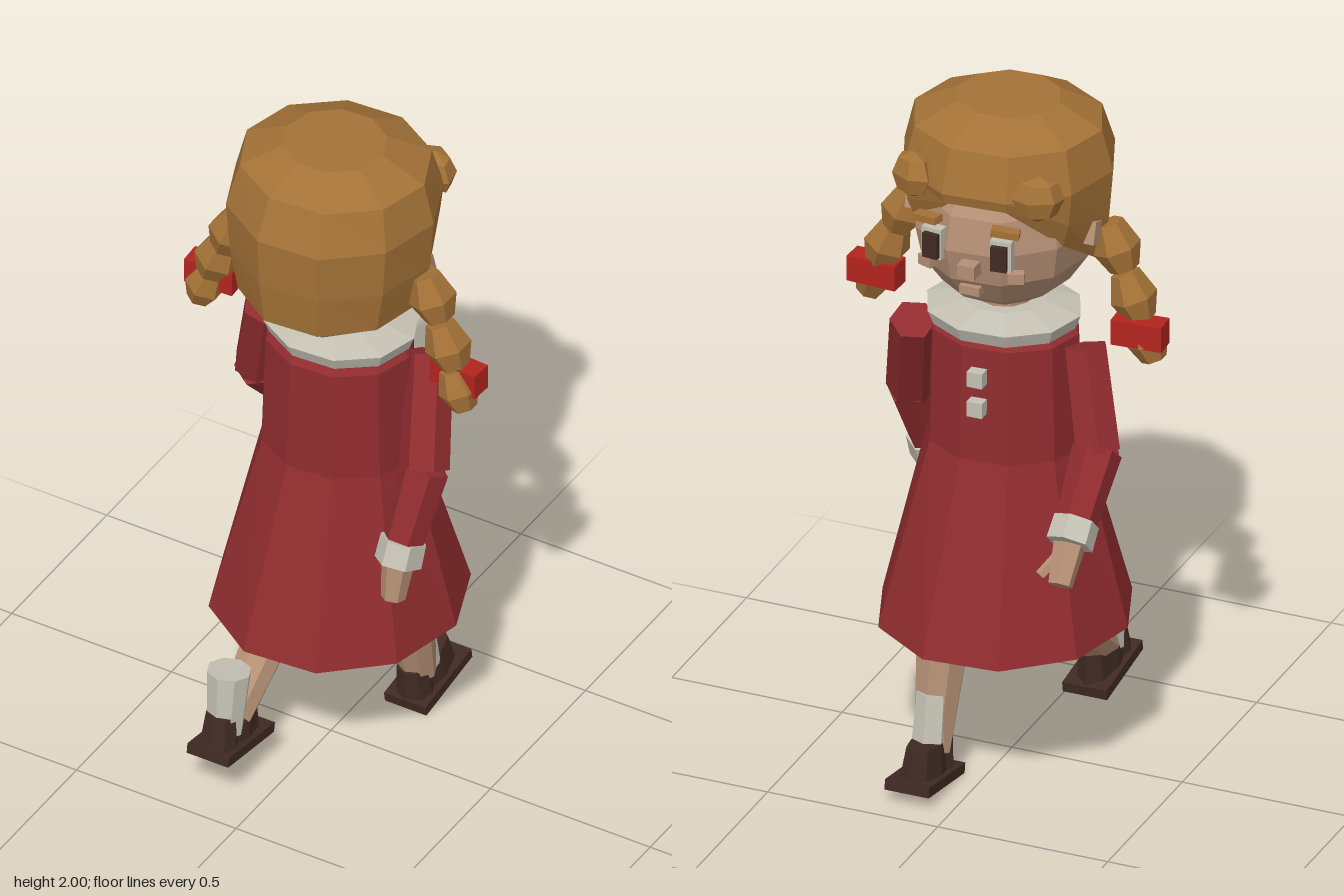
import * as THREE from 'three';

const mat = (name, color, side = THREE.FrontSide) => {
  const m = new THREE.MeshStandardMaterial({ color, flatShading: true, side });
  m.name = name;
  return m;
};

// Ten-sided loft through rings [y, rx, rz, centreZ], listed bottom to top; hem(angle, ring, y) may bend heights
function loft(rings, { sides = 10, turn = -0.07, capBottom = true, hem = (a, k, y) => y } = {}) {
  const pos = [];
  const P = (k, i) => {
    const a = turn + (i / sides) * Math.PI * 2, [y, rx, rz, cz] = rings[k];
    return [rx * Math.cos(a), hem(a, k, y), cz + rz * Math.sin(a)];
  };
  const tri = (...pts) => pts.forEach((p) => pos.push(...p));
  const last = rings.length - 1;
  for (let i = 0; i < sides; i++) {
    for (let k = 0; k < last; k++) {
      tri(P(k, i), P(k + 1, i + 1), P(k, i + 1));
      tri(P(k, i), P(k + 1, i), P(k + 1, i + 1));
    }
    tri([0, rings[last][0], rings[last][3]], P(last, i + 1), P(last, i));
    if (capBottom) tri([0, rings[0][0], rings[0][3]], P(0, i), P(0, i + 1));
  }
  const g = new THREE.BufferGeometry();
  g.setAttribute('position', new THREE.Float32BufferAttribute(pos, 3));
  g.computeVertexNormals();
  return g;
}

export function createModel() {
  const hair = mat('hair brown', 0xa47237, THREE.DoubleSide);
  const skin = mat('skin', 0xb48f74);
  const red = mat('dress red', 0x902c2f);
  const ribbon = mat('ribbon red', 0xb3241e);
  const white = mat('off white', 0xc4c1b3);
  const dark = mat('shoe brown', 0x402a23);

  const model = new THREE.Group();
  model.name = 'walkingGirl';
  const add = (name, geo, material, p = [0, 0, 0], r = [0, 0, 0], parent = model) => {
    const m = new THREE.Mesh(geo, material);
    m.name = name;
    m.position.set(...p);
    m.rotation.set(...r);
    parent.add(m);
    return m;
  };
  const box = (name, size, material, p, r, parent) => add(name, new THREE.BoxGeometry(...size), material, p, r, parent);
  // Tapered prism from point a to point b
  const limb = (name, a, b, ra, rb, material, sides = 6) => {
    const A = new THREE.Vector3(...a), B = new THREE.Vector3(...b), d = B.clone().sub(A);
    const m = add(name, new THREE.CylinderGeometry(rb, ra, d.length(), sides), material);
    m.position.copy(A).add(B).multiplyScalar(0.5);
    m.quaternion.setFromUnitVectors(new THREE.Vector3(0, 1, 0), d.normalize());
  };

  // Dress, collar and neck
  add('dress', loft([[0.448, 0.35, 0.374, -0.046], [0.98, 0.222, 0.192, -0.043],
    [1.32, 0.212, 0.183, -0.045], [1.36, 0.175, 0.15, -0.045]]), red);
  add('collar', loft([[1.34, 0.205, 0.18, -0.055], [1.38, 0.22, 0.197, -0.055], [1.405, 0.12, 0.11, -0.05]]), white);
  add('neck', new THREE.CylinderGeometry(0.08, 0.08, 0.12, 10), skin, [0, 1.41, -0.045]);
  for (const y of [1.24, 1.15]) box('button', [0.045, 0.045, 0.04], white, [0, y, -0.235]);

  // Head
  const skull = new THREE.SphereGeometry(1, 10, 8);
  skull.rotateY(0.07).scale(0.25, 0.25, 0.285);
  add('head', skull, skin, [0, 1.65, -0.03]);

  // Hair cap, with the hem lifted over the face
  const lift = (a) => { const f = -Math.sin(a); return f > 0.8 ? 0.24 : f > 0.45 ? 0.11 : 0; };
  add('hairCap', loft([[1.54, 0.258, 0.27, -0.015], [1.67, 0.285, 0.29, -0.02], [1.82, 0.298, 0.297, -0.021],
    [1.94, 0.268, 0.25, -0.025], [2.0, 0.145, 0.14, -0.02]],
  { capBottom: false, hem: (a, k, y) => (k === 0 ? y + lift(a) : k === 1 ? y + lift(a) * 0.5 : y) }), hair);

  // Face, each piece turned to follow the curve of the head
  for (const s of [-1, 1]) {
    box('eyeWhite', [0.06, 0.09, 0.03], white, [s * 0.1, 1.665, -0.295], [0, s * -0.12, 0]);
    box('pupil', [0.045, 0.072, 0.018], dark, [s * 0.1, 1.662, -0.317], [0, s * -0.12, 0]);
    box('eyebrow', [0.078, 0.02, 0.035], hair, [s * 0.115, 1.74, -0.307], [0, s * -0.25, s * -0.1]);
    box('cheek', [0.045, 0.03, 0.03], skin, [s * 0.13, 1.59, -0.27], [0, s * -0.35, 0]);
    box('ear', [0.04, 0.065, 0.04], skin, [s * 0.258, 1.655, -0.06], [0.3, 0, 0]);
    const curl = add('fringeCurl', new THREE.SphereGeometry(0.066, 6, 4), hair, [s * 0.185, 1.828, -0.245], [0.1, s * -0.55, 0]);
    curl.scale.set(1.1, 1, 0.75);
  }
  box('nose', [0.05, 0.04, 0.05], skin, [-0.01, 1.61, -0.312]);
  box('mouth', [0.06, 0.025, 0.035], skin, [0, 1.53, -0.272]);

  // Braids: truncated double-cone beads hanging outwards, tied with a bow
  for (const s of [-1, 1]) {
    const beads = [[0.305, 1.592, 1, -0.008 - s * 0.012], [0.365, 1.465, 0.98, -0.01 + s * 0.01], [0.41, 1.345, 0.85, -0.005 + s * 0.025]];
    for (const [x, y, k, z] of beads) {
      const r = 0.067 * k, h = 0.07 * k;
      const profile = [[0, -h], [r * 0.62, -h], [r, -h * 0.1], [r * 0.62, h], [0, h]];
      add('braidBead', new THREE.LatheGeometry(profile.map((p) => new THREE.Vector2(...p)), 6), hair,
        [s * x, y, z], [0, 0, s * 0.36]);
    }
    box('braidBow', [0.145, 0.075, 0.065], ribbon, [s * 0.398, 1.376, s < 0 ? -0.05 : -0.005], [0, s * -0.06, 0]);
  }

  // Arms: sleeve in two parts, cuff, hand with thumb
  const arms = [
    { shoulder: [0.238, 1.31, -0.12], elbow: [0.305, 1.03, 0.02], wrist: [0.29, 0.84, 0.105], cuff: [0.287, 0.775, 0.13], tip: [0.285, 0.67, 0.152], thumb: [0.255, 0.71, 0.11] },
    { shoulder: [-0.245, 1.31, -0.07], elbow: [-0.312, 1.04, -0.14], wrist: [-0.307, 0.885, -0.268], cuff: [-0.307, 0.836, -0.316], tip: [-0.31, 0.745, -0.385], thumb: [-0.252, 0.765, -0.388] },
  ];
  for (const a of arms) {
    limb('upperSleeve', a.shoulder, a.elbow, 0.064, 0.069, red);
    add('elbow', new THREE.SphereGeometry(0.064, 6, 4), red, a.elbow);
    limb('lowerSleeve', a.elbow, a.wrist, 0.069, 0.058, red);
    limb('cuff', a.wrist, a.cuff, 0.064, 0.066, white);
    limb('hand', a.cuff, a.tip, 0.045, 0.034, skin);
    limb('thumb', a.cuff, a.thumb, 0.018, 0.015, skin, 5);
  }

  // Legs and socks in mid stride
  limb('leftLeg', [0.122, 0.52, -0.155], [0.125, 0.09, -0.25], 0.085, 0.052, skin, 8);
  limb('leftSock', [0.125, 0.26, -0.242], [0.125, 0.1, -0.27], 0.046, 0.05, white);
  limb('rightLeg', [-0.13, 0.52, -0.1], [-0.13, 0.2, 0.3], 0.082, 0.053, skin, 8);
  limb('rightSock', [-0.13, 0.18, 0.34], [-0.13, 0.368, 0.318], 0.05, 0.062, white, 8);

  // Shoes, toes towards -z
  const shoe = (name, p, pitch) => {
    const g = new THREE.Group();
    g.name = name;
    g.position.set(...p);
    g.rotation.x = pitch;
    model.add(g);
    box('sole', [0.13, 0.03, 0.245], dark, [0, 0, 0], [0, 0, 0], g);
    add('upper', new THREE.CylinderGeometry(0.82, 1, 0.085, 8), dark, [0, 0.056, -0.005], [0, 0, 0], g).scale.set(0.054, 1, 0.11);
    add('heelCounter', new THREE.CylinderGeometry(0.045, 0.054, 0.095, 8), dark, [0, 0.06, 0.066], [0, 0, 0], g);
  };
  shoe('leftShoe', [0.123, 0.034, -0.305], 0.16);
  shoe('rightShoe', [-0.132, 0.128, 0.306], -0.16);
  return model;
}
